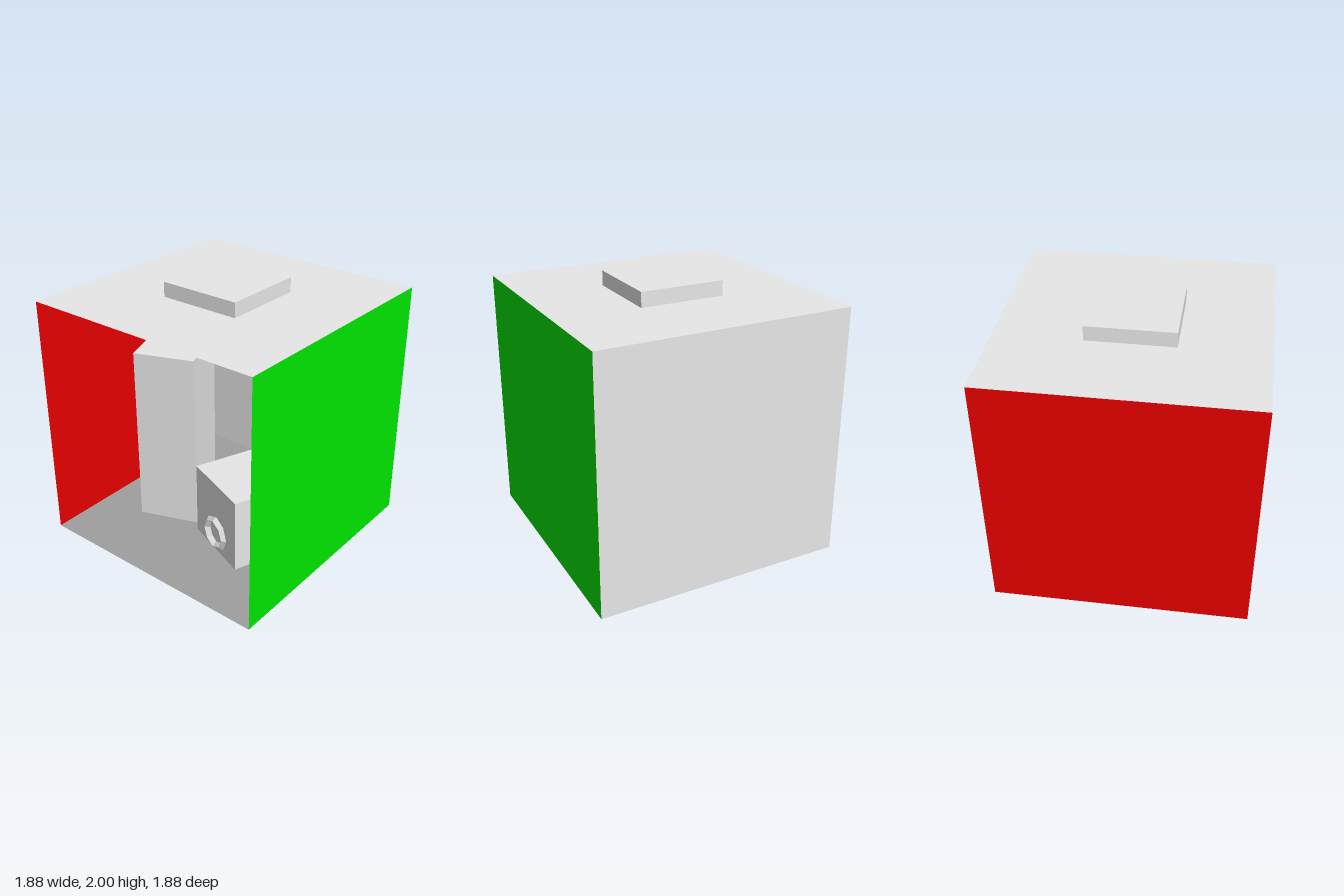
import * as THREE from 'three';

export function createModel() {
  const model = new THREE.Group();
  model.name = 'openRoom';

  const material = (name, color) => {
    const m = new THREE.MeshStandardMaterial({ color, side: THREE.DoubleSide });
    m.name = name;
    return m;
  };
  const grey = material('pale grey', 0xe7e7e7);
  const floorGrey = material('floor grey', 0x9f9f9f);
  const red = material('red', 0xe70000);
  const green = material('green', 0x00e700);

  const add = (parent, name, geometry, mat, x = 0, y = 0, z = 0) => {
    const mesh = new THREE.Mesh(geometry, mat);
    mesh.name = name;
    mesh.position.set(x, y, z);
    parent.add(mesh);
    return mesh;
  };

  // Room shell: single sheets, open at the front
  const half = 0.94, bottom = 0.006, top = 1.89;
  const mid = (bottom + top) / 2;
  const sheet = (height) => new THREE.PlaneGeometry(half * 2, height);
  const wall = top - bottom;
  add(model, 'floor', sheet(half * 2), floorGrey, 0, bottom, 0).rotation.x = -Math.PI / 2;
  add(model, 'ceiling', sheet(half * 2), grey, 0, top, 0).rotation.x = -Math.PI / 2;
  add(model, 'backWall', sheet(wall), grey, 0, mid, -half);
  add(model, 'rightWall', sheet(wall), red, -half, mid, 0).rotation.y = -Math.PI / 2;
  add(model, 'leftWall', sheet(wall), green, half, mid, 0).rotation.y = Math.PI / 2;

  // Square lamp housing on the roof
  add(model, 'roofLamp', new THREE.BoxGeometry(0.63, 0.11, 0.63), grey, 0, 1.945, 0);

  // Turned blocks standing on the floor
  const block = (name, width, height, x, z, turn) => {
    const group = new THREE.Group();
    group.name = name;
    group.position.set(x, 0, z);
    group.rotation.y = turn;
    add(group, name + 'Body', new THREE.BoxGeometry(width, height, width), grey, 0, height / 2, 0);
    model.add(group);
    return group;
  };
  const turn = 0.37;
  const tall = block('tallBlock', 0.469, 1.417, -0.433, 0.1, turn);
  const short = block('shortBlock', 0.58, 0.587, 0.309, 0.13, -turn);

  // Thin panel low on the tall block's front
  add(tall, 'frontPanel', new THREE.PlaneGeometry(0.397, 0.265), grey, -0.005, 0.18, 0.2355);

  // Faceted ring on the short block's front, turned slightly back to the room's front
  const ringShape = new THREE.TorusGeometry(0.112, 0.028, 4, 8).toNonIndexed();
  ringShape.computeVertexNormals();
  const ring = add(short, 'ring', ringShape, grey, 0.022, 0.173, 0.3);
  ring.rotation.y = 0.07;

  return model;
}
